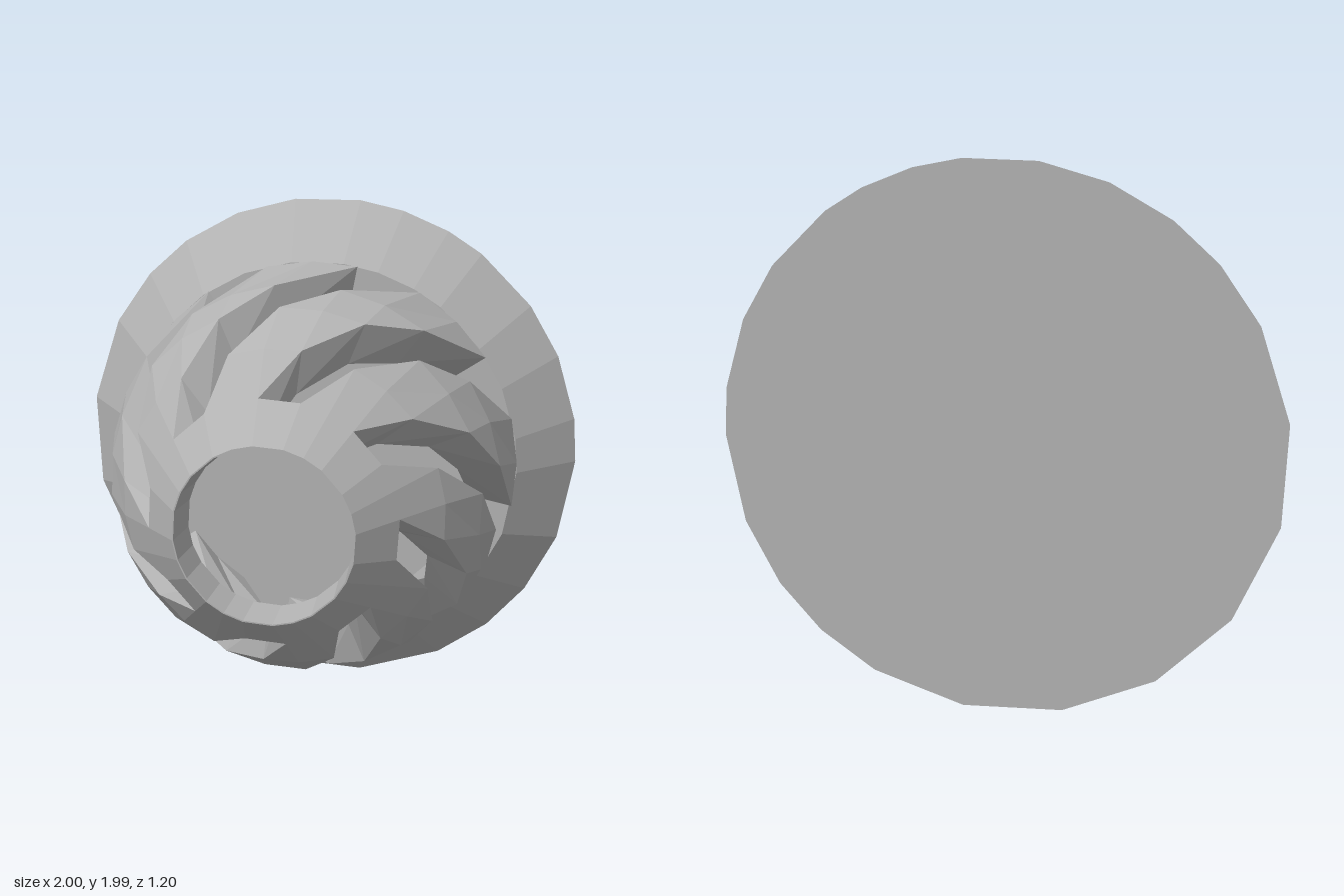
import * as THREE from 'three';

const grey = new THREE.MeshStandardMaterial({ color: 0xb2b2b2 });
grey.name = 'plain grey';

// Point at a radius and angle (degrees) around the z axis, raised to y = 1
function polar(r, deg, z) {
  const a = THREE.MathUtils.degToRad(deg);
  return new THREE.Vector3(r * Math.cos(a), 1 + r * Math.sin(a), z);
}

// Faceted skin over rows of points; each row is a closed loop
function loft(name, rows, closeRows = false) {
  const tris = [];
  const last = closeRows ? rows.length : rows.length - 1;
  for (let i = 0; i < last; i++) {
    const p = rows[i], q = rows[(i + 1) % rows.length];
    for (let j = 0; j < p.length; j++) {
      const k = (j + 1) % p.length;
      tris.push(p[j], q[j], q[k], p[j], q[k], p[k]);
    }
  }
  const geo = new THREE.BufferGeometry().setFromPoints(tris);
  geo.computeVertexNormals();
  const mesh = new THREE.Mesh(geo, grey);
  mesh.name = name;
  return mesh;
}

export function createModel() {
  const model = new THREE.Group();
  model.name = 'spiralRibbedBowl';

  // Flared solid base with an uneven polygon rim
  const rimAngles = [-167, -145, -124, -103, -82, -62, -48, -35, -20, -1, 9, 24,
    37, 53, 62, 73, 83, 98, 112, 126, 138, 152, 172];
  const baseProfile = [[0, -0.38], [0.79, -0.38], [1.005, -0.6], [0, -0.6]];
  model.add(loft('flaredBase', baseProfile.map(([r, z]) => rimAngles.map(a => polar(r, a, z)))));

  // Conical collar around the front opening
  const collarAngles = [];
  for (let i = 0; i < 8; i++) collarAngles.push(51 + i * 45, 64 + i * 45, 77 + i * 45);
  const collarProfile = [[0.33, 0.6], [0.46, 0.45], [0.31, 0.45], [0.325, 0.6]];
  model.add(loft('frontCollar', collarProfile.map(([r, z]) => collarAngles.map(a => polar(r, a, z))), true));

  // Eight twisted ribs: z, outer radius, inner radius, twist in degrees
  const stations = [
    [0.45, 0.46, 0.31, 0],
    [0.29, 0.6, 0.44, -13],
    [0.1, 0.71, 0.55, -28],
    [-0.07, 0.76, 0.6, -43],
    [-0.38, 0.79, 0.62, -62],
  ];
  const ribs = new THREE.Group();
  ribs.name = 'spiralRibs';
  for (let i = 0; i < 8; i++) {
    const rows = stations.map(([z, outer, inner, twist]) => {
      const a = [51, 64, 77].map(v => v + i * 45 + twist);
      return [...a.map(v => polar(outer, v, z)), ...a.reverse().map(v => polar(inner, v, z))];
    });
    ribs.add(loft('spiralRib', rows));
  }
  model.add(ribs);
  return model;
}
